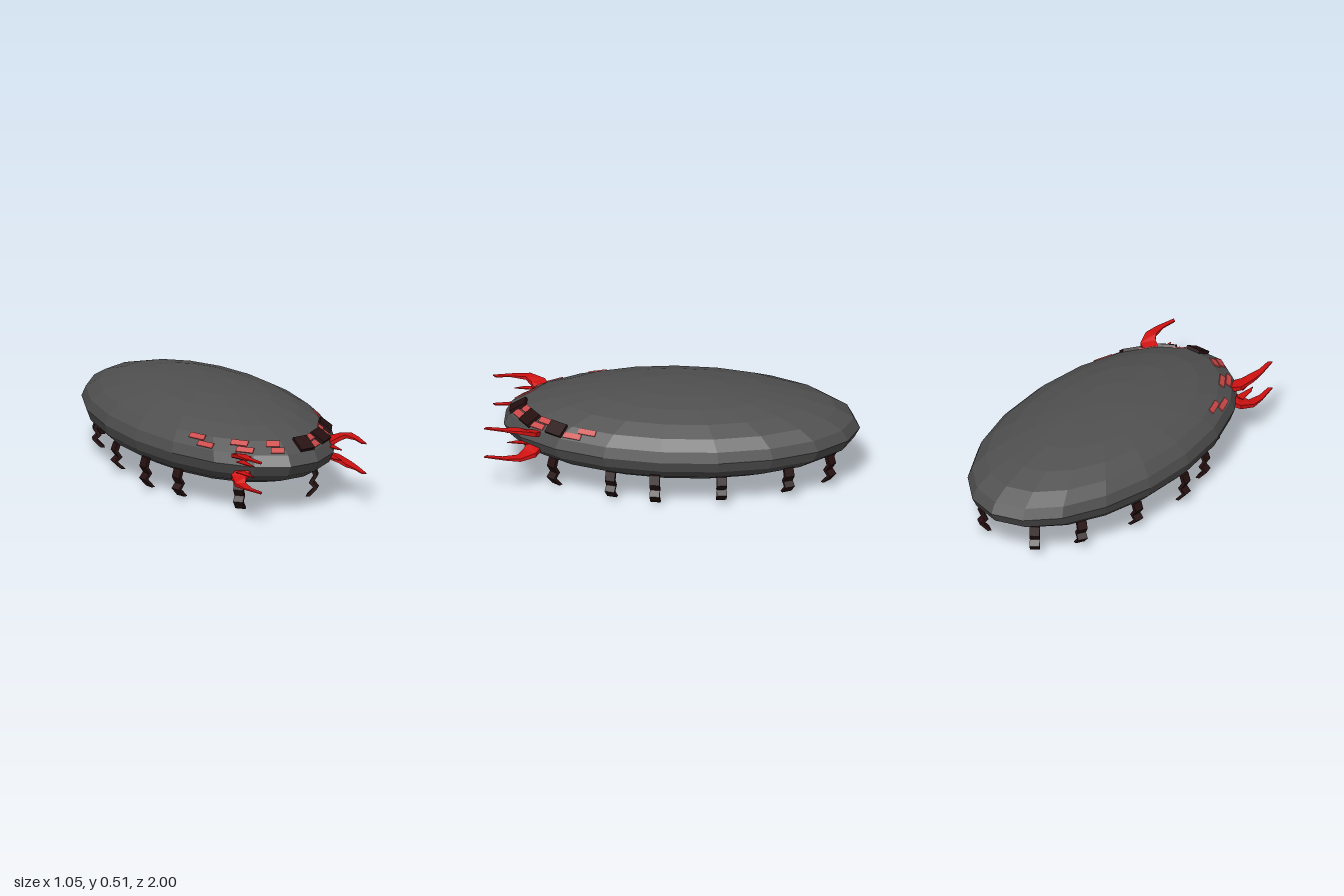
import * as THREE from 'three';

const mat = (name, color) => Object.assign(new THREE.MeshStandardMaterial({ color, flatShading: true }), { name });

// Hull ellipsoid: centre, radii and number of sides
const CY = 0.285, CZ = -0.038, RX = 0.527, RY = 0.224, RZ = 0.962, SIDES = 19;

export function createModel() {
  const model = new THREE.Group();
  const grey = mat('hull grey', 0x505050);
  const dark = mat('dark maroon', 0x261010);
  const red = mat('claw red', 0xd01010);
  const pale = mat('window red', 0xcc4848);
  red.side = THREE.DoubleSide;

  const add = (name, geometry, material, parent = model) => {
    const mesh = new THREE.Mesh(geometry, material);
    mesh.name = name;
    parent.add(mesh);
    return mesh;
  };

  // Hull
  const hull = new THREE.SphereGeometry(1, SIDES, 12, -Math.PI / 2, Math.PI * 2);
  hull.scale(RX, RY, RZ).translate(0, CY, CZ);
  add('hull', hull, grey);

  // Plate lying on one facet of the hull band above the widest ring
  const rad = THREE.MathUtils.degToRad, flat = Math.cos(Math.PI / SIDES);
  const nr = Math.sin(rad(30)) - Math.sin(rad(15));
  const ny = (Math.cos(rad(15)) - Math.cos(rad(30))) * flat;
  const dist = nr * Math.cos(rad(15)) * flat + ny * Math.sin(rad(15));
  function plate(name, facet, x, y, width, dy, depth, material) {
    const a = (facet * Math.PI * 2) / SIDES;
    const nx = nr * Math.sin(a), nz = nr * Math.cos(a);
    const z = ((dist - (nx * x) / RX - (ny * (y - CY)) / RY) / nz) * RZ + CZ;
    const n = new THREE.Vector3(nx / RX, ny / RY, nz / RZ).normalize();
    const t = new THREE.Vector3(0, 1, 0).cross(n).normalize();
    const b = n.clone().cross(t);
    const mesh = add(name, new THREE.BoxGeometry(width, dy / b.y, depth), material);
    mesh.quaternion.setFromRotationMatrix(new THREE.Matrix4().makeBasis(t, b, n));
    mesh.position.set(x, y, z).addScaledVector(n, depth * 0.3);
  }

  // Red windows in two rows on both sides
  for (const side of [-1, 1]) {
    for (const [facet, x, width] of [[1, 0.117, 0.074], [2, 0.257, 0.098], [3, 0.38, 0.1]]) {
      for (const y of [0.385, 0.36]) plate('window', facet * side, x * side, y, width, 0.021, 0.008, pale);
    }
  }
  // Dark panels between the windows on the left side only
  for (const [facet, x, width] of [[0, 0.043, 0.085], [1, 0.194, 0.098], [2, 0.32, 0.105]]) {
    plate('darkPanel', facet, x, 0.37, width, 0.048, 0.022, dark);
  }

  // Zigzag legs: x, z, foot height, top height
  const zigzag = [[0, 1], [0.016, 0.7], [-0.008, 0.47], [0.018, 0.3], [-0.026, 0]];
  const legs = [
    [0.235, 0.63, 0, 0.165], [0.415, 0.31, 0.02, 0.178], [0.468, 0.07, 0.02, 0.188],
    [0.425, -0.285, 0.025, 0.17], [0.325, -0.635, 0.04, 0.19], [0.175, -0.845, 0.04, 0.2],
  ];
  for (const side of [-1, 1]) {
    for (const [x, z, foot, top] of legs) {
      const h = top - foot, half = 0.011;
      const outer = zigzag.map(([u, v]) => new THREE.Vector2(u + half, v * h));
      const inner = zigzag.map(([u, v]) => new THREE.Vector2(u - half, v * h)).reverse();
      const geo = new THREE.ExtrudeGeometry(new THREE.Shape([...outer, ...inner]), { depth: 0.054, bevelEnabled: false });
      geo.translate(0, 0, -0.027);
      const leg = add('leg', geo, dark);
      leg.position.set(x * side, foot, z);
      leg.rotation.y = Math.atan2(-(z - CZ) / RZ ** 2, (x * side) / RX ** 2);
    }
  }

  // Claws: inner x, z, outer x, z, height, half thickness
  const sections = [
    [0.25, 0.77, 0.265, 0.68, 0.32, 0.014], [0.295, 0.79, 0.345, 0.72, 0.345, 0.012],
    [0.318, 0.82, 0.37, 0.8, 0.366, 0.009], [0.328, 0.9, 0.365, 0.88, 0.369, 0.004],
    [0.318, 0.985, 0.338, 1.0, 0.369, 0.003],
  ];
  function clawGeometry(sx, sy) {
    const pos = [], index = [];
    for (const [ix, iz, ox, oz, y, t] of sections) {
      for (const [px, pz, dy] of [[ix, iz, -t], [ox, oz, -t], [ox, oz, t], [ix, iz, t]]) {
        pos.push(px * sx, CY + sy * (y + dy - CY), pz);
      }
    }
    const quad = (a, b, c, d) => index.push(...(sx * sy > 0 ? [a, b, c, a, c, d] : [a, c, b, a, d, c]));
    for (let s = 0; s < sections.length - 1; s++) {
      for (let k = 0; k < 4; k++) {
        const a = s * 4 + k, b = s * 4 + ((k + 1) % 4);
        quad(a, a + 4, b + 4, b);
      }
    }
    const e = (sections.length - 1) * 4;
    quad(0, 1, 2, 3);
    quad(e + 3, e + 2, e + 1, e);
    const geo = new THREE.BufferGeometry();
    geo.setAttribute('position', new THREE.Float32BufferAttribute(pos, 3));
    geo.setIndex(index);
    const out = geo.toNonIndexed();
    out.computeVertexNormals();
    return out;
  }
  for (const sx of [-1, 1]) {
    for (const sy of [-1, 1]) add(sy > 0 ? 'upperClaw' : 'lowerClaw', clawGeometry(sx, sy), red);
  }

  // Small flat spikes beside the claws
  for (const x of [-0.335, 0.225]) {
    for (const y of [0.312, 0.253]) {
      const tip = new THREE.Shape([[0, -0.75], [0.05, -0.75], [0.035, -0.88], [0.015, -0.84]].map(([u, v]) => new THREE.Vector2(u, v)));
      const geo = new THREE.ExtrudeGeometry(tip, { depth: 0.005, bevelEnabled: false });
      geo.rotateX(-Math.PI / 2);
      add('spike', geo, red).position.set(x, y, 0);
    }
  }

  return model;
}
